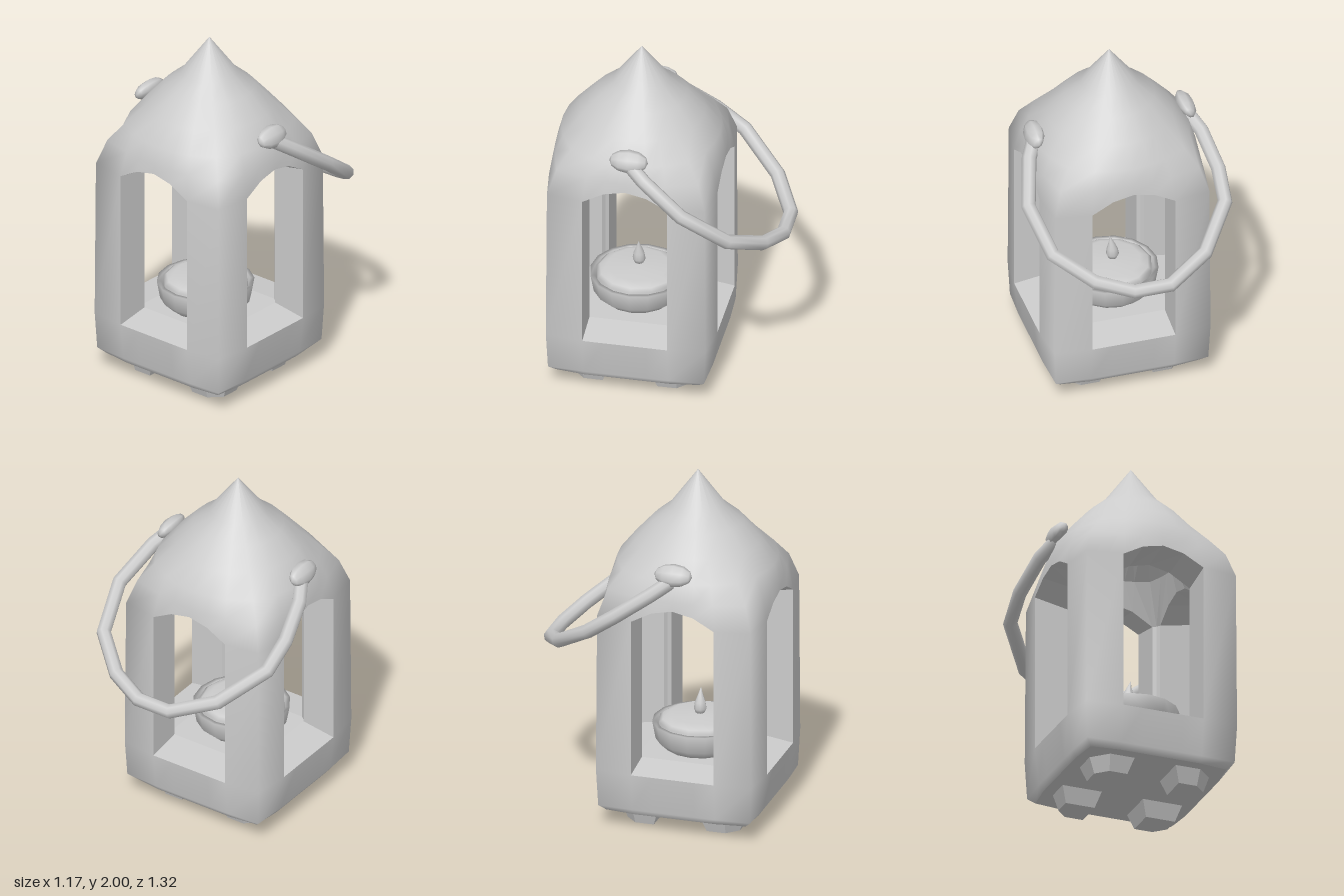
import * as THREE from 'three';

const CX = -0.015, CZ = 0.19;   // lantern axis
const N = 24;                   // points per ring, six per side

// One horizontal ring: half width h, window half width e, corner c,
// k blends square to circle, arch raises the middle of each side.
function ring(y, h, { e = h / 2, c = h * 0.95, k = 0, arch = 0 } = {}) {
  const side = [[-e, h, 0], [-e / 2, h, 0.72], [0, h, 1], [e / 2, h, 0.72], [e, h, 0], [c, c, 0]];
  const out = [];
  for (let s = 0; s < 4; s++) {
    for (const [px, pz, a] of side) {
      let x = px, z = pz;
      for (let i = 0; i < s; i++) [x, z] = [z, -x];
      const f = 1 + k * (h / Math.hypot(x, z) - 1);
      out.push(new THREE.Vector3(x * f, y + a * arch, z * f));
    }
  }
  return out;
}

function mesh(name, geometry, flat = false) {
  const m = new THREE.Mesh(geometry, new THREE.MeshStandardMaterial({
    color: 0xcccccc, flatShading: flat, side: THREE.DoubleSide }));
  m.name = name;
  return m;
}

// Skin between successive rings; skip(i, j) leaves openings
function loft(rings, skip = () => false) {
  const n = rings[0].length, index = [];
  for (let i = 0; i < rings.length - 1; i++) {
    for (let j = 0; j < n; j++) {
      if (skip(i, j)) continue;
      const a = i * n + j, b = i * n + (j + 1) % n;
      index.push(a, b, b + n, a, b + n, a + n);
    }
  }
  const g = new THREE.BufferGeometry().setFromPoints(rings.flat());
  g.setIndex(index);
  g.computeVertexNormals();
  return g;
}

const point = (y, n = N) => Array.from({ length: n }, () => new THREE.Vector3(0, y, 0));
const inWindow = (j) => j % 6 < 4;

function flatQuads(quads) {
  const pts = quads.flatMap(([a, b, c, d]) => [a, b, c, a, c, d]);
  const g = new THREE.BufferGeometry().setFromPoints(pts);
  g.computeVertexNormals();
  return g;
}

export function createModel() {
  const model = new THREE.Group();
  model.name = 'lantern';
  const body = new THREE.Group();
  body.name = 'lanternBody';
  body.position.set(CX, 0, CZ);
  model.add(body);

  // Outer shell: base, four posts and pointed roof
  const E = 0.237;
  const sillOut = ring(0.34, 0.47, { e: E, c: 0.445 });
  const headOut = ring(1.25, 0.47, { e: E, c: 0.44, arch: 0.09 });
  const outer = [
    ring(0.09, 0.42, { e: E, c: 0.4 }),
    ring(0.125, 0.445, { e: E, c: 0.435 }),
    sillOut, headOut,
    ring(1.39, 0.464, { c: 0.464, k: 0.5 }),
    ring(1.49, 0.438, { c: 0.438, k: 0.85 }),
    ring(1.6, 0.35, { c: 0.35, k: 1 }),
    ring(1.71, 0.25, { c: 0.25, k: 1 }),
    ring(1.79, 0.155, { c: 0.155, k: 1 }),
    point(2.0),
  ];
  body.add(mesh('outerShell', loft(outer, (i, j) => i === 2 && inWindow(j))));
  body.add(mesh('baseUnderside', loft([point(0.09), outer[0]]), true));

  // Inner faces of the posts, floor and hollow ceiling
  const sillIn = ring(0.37, 0.27, { e: E, c: 0.256 });
  const headIn = ring(1.21, 0.27, { e: E, c: 0.256, arch: 0.1 });
  const inner = [
    point(1.66),
    ring(1.58, 0.14, { c: 0.14, k: 1 }),
    ring(1.44, 0.24, { c: 0.24, k: 0.7 }),
    headIn, sillIn, point(0.37),
  ];
  body.add(mesh('innerShell', loft(inner, (i, j) => i === 3 && inWindow(j)), true));

  // Window reveals: sill, arched head and two jambs on each side
  const reveals = [];
  for (let s = 0; s < 4; s++) {
    const j0 = s * 6, j1 = j0 + 4;
    for (let j = j0; j < j1; j++) {
      reveals.push([sillOut[j], sillOut[j + 1], sillIn[j + 1], sillIn[j]]);
      reveals.push([headOut[j + 1], headOut[j], headIn[j], headIn[j + 1]]);
    }
    reveals.push([sillOut[j0], sillIn[j0], headIn[j0], headOut[j0]]);
    reveals.push([sillIn[j1], sillOut[j1], headOut[j1], headIn[j1]]);
  }
  body.add(mesh('windowReveals', flatQuads(reveals), true));

  // Tapered feet with the outward corner cut off
  const footRing = (y, r) => [[-r, -r], [-r, r], [r * 0.25, r], [r, r * 0.25], [r, -r]]
    .map(([x, z]) => new THREE.Vector3(x, y, z));
  for (let i = 0; i < 4; i++) {
    const foot = mesh('foot', loft([point(0, 5), footRing(0, 0.085), footRing(0.11, 0.122)]), true);
    const a = i * Math.PI / 2 + Math.PI / 4;
    foot.position.set(Math.SQRT2 * 0.237 * Math.sin(a), 0, Math.SQRT2 * 0.237 * Math.cos(a));
    foot.rotation.y = i * Math.PI / 2;
    body.add(foot);
  }

  // Candle dish, wax and flame
  const candle = new THREE.Group();
  candle.name = 'candle';
  candle.position.set(-0.01, 0, 0.02);
  body.add(candle);
  const lathe = (pts, n) => new THREE.LatheGeometry(pts.map(([r, y]) => new THREE.Vector2(r, y)), n);
  candle.add(mesh('dish', lathe([[0, 0.372], [0.2, 0.372], [0.25, 0.42], [0.268, 0.52],
    [0.245, 0.52], [0.235, 0.45]], 16)));
  candle.add(mesh('wax', lathe([[0.235, 0.45], [0.235, 0.525], [0.215, 0.54], [0.17, 0.56], [0, 0.565]], 12)));
  const flame = lathe([[0, 0.565], [0.025, 0.57], [0.036, 0.595], [0.03, 0.63], [0.015, 0.67], [0, 0.715]], 10);
  const p = flame.attributes.position;
  for (let i = 0; i < p.count; i++) {
    const t = Math.max(0, (p.getY(i) - 0.6) / 0.115);   // bend the tip sideways
    p.setX(i, p.getX(i) - 0.015 + 0.016 * t * t);
  }
  flame.computeVertexNormals();
  candle.add(mesh('flame', flame));

  // Swinging handle, an angular hoop in a tilted plane
  const plan = [[-0.45, 0.17], [-0.505, 0.07], [-0.545, -0.12], [-0.535, -0.28], [-0.355, -0.5], [-0.12, -0.62],
    [0.085, -0.62], [0.285, -0.545], [0.48, -0.385], [0.545, -0.14], [0.475, 0.08], [0.42, 0.17]];
  const path = new THREE.CatmullRomCurve3(plan.map(([x, z]) =>
    new THREE.Vector3(x, 1.5 + (z - 0.17) * 0.7, z)));
  path.getPointAt = path.getPoint;        // put a tube ring on every corner
  path.getTangentAt = path.getTangent;
  model.add(mesh('handle', new THREE.TubeGeometry(path, plan.length - 1, 0.041, 8)));

  // Handle pivots
  for (const [name, x, y, z, tilt] of [['rightPivot', -0.45, 1.54, 0.185, 0.5], ['leftPivot', 0.42, 1.525, 0.175, -0.5]]) {
    const knob = mesh(name, new THREE.SphereGeometry(1, 8, 6).rotateX(Math.PI / 2));
    knob.scale.set(0.045, 0.065, 0.108);
    knob.rotation.z = -tilt * 1.2;
    knob.position.set(x, y, z);
    model.add(knob);
  }
  return model;
}
